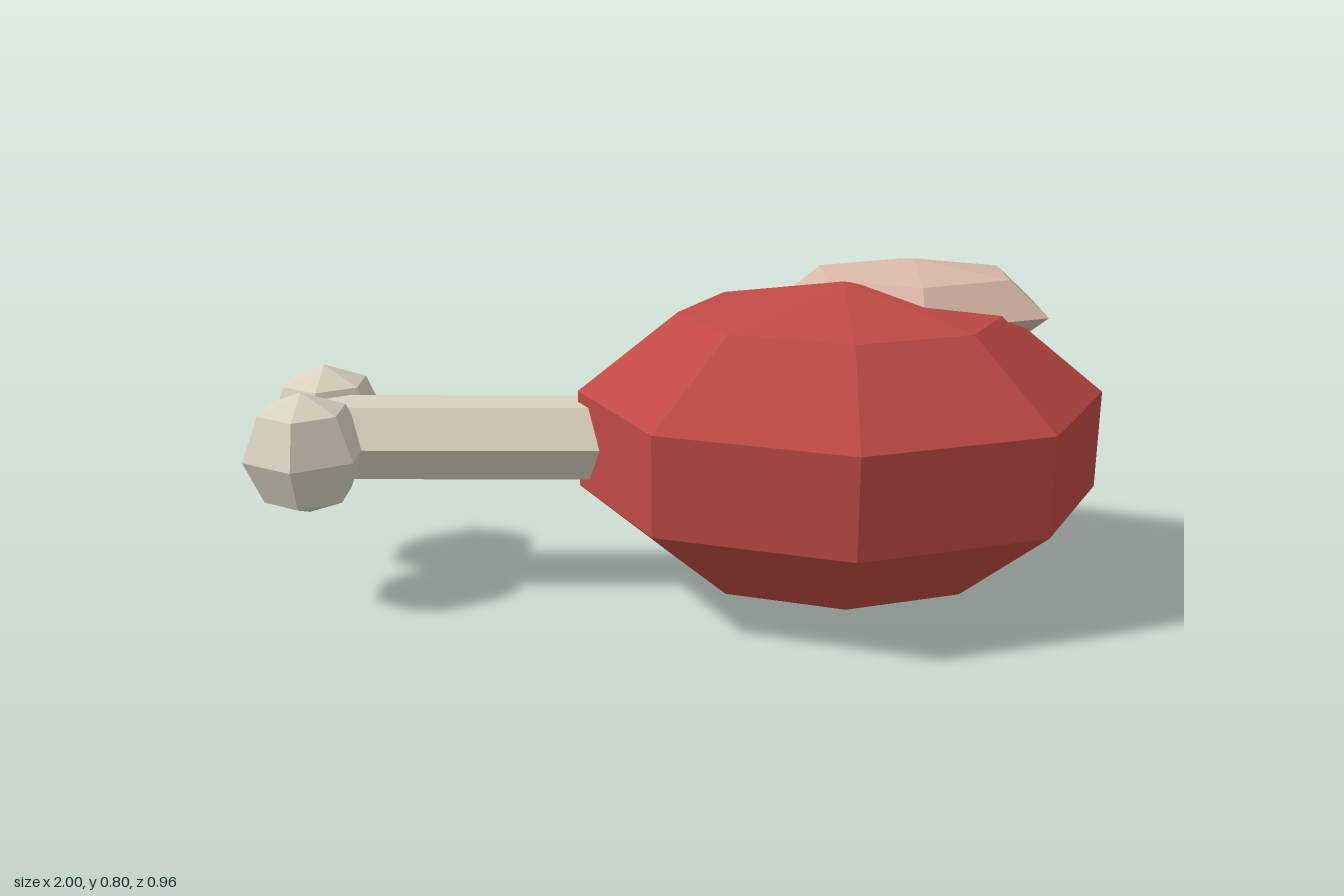
import * as THREE from 'three';

function flatMaterial(name, color) {
  const m = new THREE.MeshStandardMaterial({ color, flatShading: true });
  m.name = name;
  return m;
}

export function createModel() {
  const model = new THREE.Group();
  model.name = 'meatOnBone';

  const meatRed = flatMaterial('meat red', 0xbf4a43);
  const fatPink = flatMaterial('fat pink', 0xd9b8a9);
  const boneCream = flatMaterial('bone cream', 0xd9d3bf);

  // Faceted ellipsoid; turn spins the facets before stretching
  function blob(name, material, radii, sides, rings, turn, position) {
    const geometry = new THREE.SphereGeometry(1, sides, rings);
    geometry.rotateY(turn);
    geometry.scale(...radii);
    const mesh = new THREE.Mesh(geometry, material);
    mesh.name = name;
    mesh.position.set(...position);
    model.add(mesh);
  }

  // Meat and the lump of fat on top
  blob('meat', meatRed, [0.654, 0.385, 0.505], 8, 5, 0, [0.378, 0.387, 0]);
  blob('fatCap', fatPink, [0.352, 0.117, 0.237], 6, 4, Math.PI / 2, [0.556, 0.685, -0.118]);

  // Hexagonal bone shaft running into the meat
  const shaft = new THREE.CylinderGeometry(0.103, 0.103, 1.1, 6);
  shaft.rotateZ(Math.PI / 2);
  const bone = new THREE.Mesh(shaft, boneCream);
  bone.name = 'boneShaft';
  bone.position.set(-0.32, 0.39, 0);
  model.add(bone);

  // Two knobs at the end of the bone
  for (const side of [-1, 1]) {
    blob(side < 0 ? 'backKnob' : 'frontKnob', boneCream, [0.147, 0.147, 0.147],
      6, 4, Math.PI / 2, [-0.873, 0.39, side * 0.119]);
  }

  return model;
}
